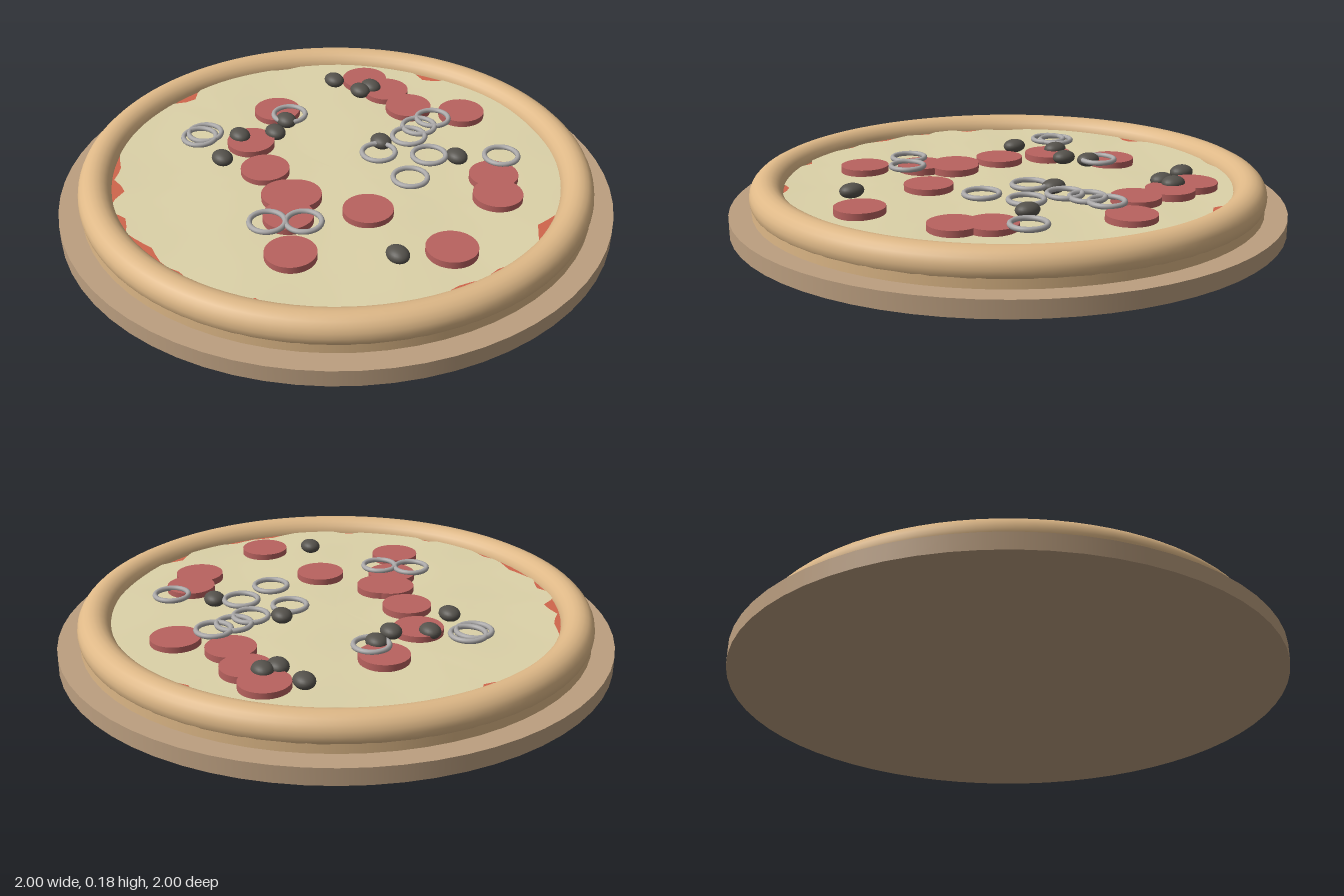
import * as THREE from 'three';

const mat = (color) => new THREE.MeshStandardMaterial({ color });

// [x, z] positions of the toppings
const SALAMI = [[0.02, -0.46], [-0.18, -0.31], [0.45, -0.49], [0.47, -0.365], [0.47, -0.21],
  [0.62, -0.065], [-0.23, -0.115], [-0.25, 0.07], [-0.22, 0.09], [-0.31, 0.185],
  [-0.41, 0.37], [-0.06, 0.3], [0.44, 0.36], [0.375, 0.465], [0.05, 0.63]];
const OLIVES = [[0.335, -0.54], [0.375, -0.41], [0.43, -0.415], [-0.2, -0.36], [-0.075, -0.31],
  [-0.33, -0.255], [0.005, -0.365], [0.225, -0.04], [0.4, 0.195], [-0.125, 0.57]];
const ONIONS = [[-0.305, -0.44], [-0.335, -0.425], [0.035, -0.39], [0.485, -0.07], [0.405, -0.05],
  [0.33, -0.01], [0.17, 0.025], [0.315, 0.14], [0.17, 0.225], [0.535, 0.285],
  [-0.395, 0.19], [-0.29, 0.255]];

// Notches in the cheese rim where sauce shows: [angle, half width, radius]
const NOTCHES = [[-106, 6, 0.755], [-158, 6, 0.75], [-148, 11, 0.78], [-172, 5, 0.775],
  [174, 12, 0.775], [162, 10, 0.79], [141, 5, 0.785], [116, 6, 0.78], [92, 12, 0.78],
  [82, 8, 0.785], [60, 8, 0.77], [-29, 6, 0.76], [-73, 9, 0.795]];

function rimRadius(deg) {
  let r = 0.82;
  for (const [a, w, depth] of NOTCHES) {
    const d = Math.abs(((deg - a + 540) % 360) - 180);
    if (d < w) r = Math.min(r, depth + (0.82 - depth) * d / w);
  }
  return r;
}

// Slightly uneven disc with a ragged rim
function cheeseGeometry() {
  const geo = new THREE.RingGeometry(0, 1, 120, 14).rotateX(-Math.PI / 2);
  const p = geo.attributes.position;
  for (let i = 0; i < p.count; i++) {
    const x = p.getX(i), z = p.getZ(i);
    const r = rimRadius(Math.atan2(z, x) * 180 / Math.PI);
    const bump = 0.0015 * (Math.sin(9 * x + 4 * z) + Math.sin(11 * z - 5 * x + 1));
    p.setXYZ(i, x * r, 0.13 + bump, z * r);
  }
  geo.computeVertexNormals();
  return geo;
}

export function createModel() {
  const model = new THREE.Group();
  const add = (name, geo, material, x = 0, y = 0, z = 0, parent = model) => {
    const mesh = new THREE.Mesh(geo, material);
    mesh.name = name;
    mesh.position.set(x, y, z);
    parent.add(mesh);
    return mesh;
  };
  const disc = (r, h, n = 64) => new THREE.CylinderGeometry(r, r, h, n);

  // Board, dough and crust
  const doughMat = mat(0xdeb887);
  add('board', disc(1, 0.06), mat(0xbc9f80), 0, 0.03);
  add('doughBase', disc(0.92, 0.035), doughMat, 0, 0.0775);
  add('crustRim', new THREE.TorusGeometry(0.866, 0.06, 20, 96).rotateX(-Math.PI / 2), doughMat, 0, 0.118);

  // Sauce and cheese
  add('sauce', disc(0.83, 0.035, 96), mat(0xd0664c), 0, 0.1075);
  const cheeseMat = mat(0xdcd2a8);
  cheeseMat.side = THREE.DoubleSide;
  add('cheese', cheeseGeometry(), cheeseMat);

  // Toppings
  const scatter = (group, name, spots, geo, material, y) => {
    const g = new THREE.Group();
    g.name = group;
    spots.forEach(([x, z]) => add(name, geo, material, x, y, z, g));
    model.add(g);
  };
  scatter('salamiSlices', 'salamiSlice', SALAMI, disc(0.088, 0.03, 40), mat(0xb9625f), 0.138);
  scatter('olives', 'olive', OLIVES,
    new THREE.SphereGeometry(1, 24, 16).scale(0.037, 0.026, 0.045), mat(0x55524c), 0.154);
  scatter('onionRings', 'onionRing', ONIONS,
    new THREE.TorusGeometry(0.061, 0.0095, 10, 40).rotateX(-Math.PI / 2), mat(0xaaa8a8), 0.158);
  return model;
}
